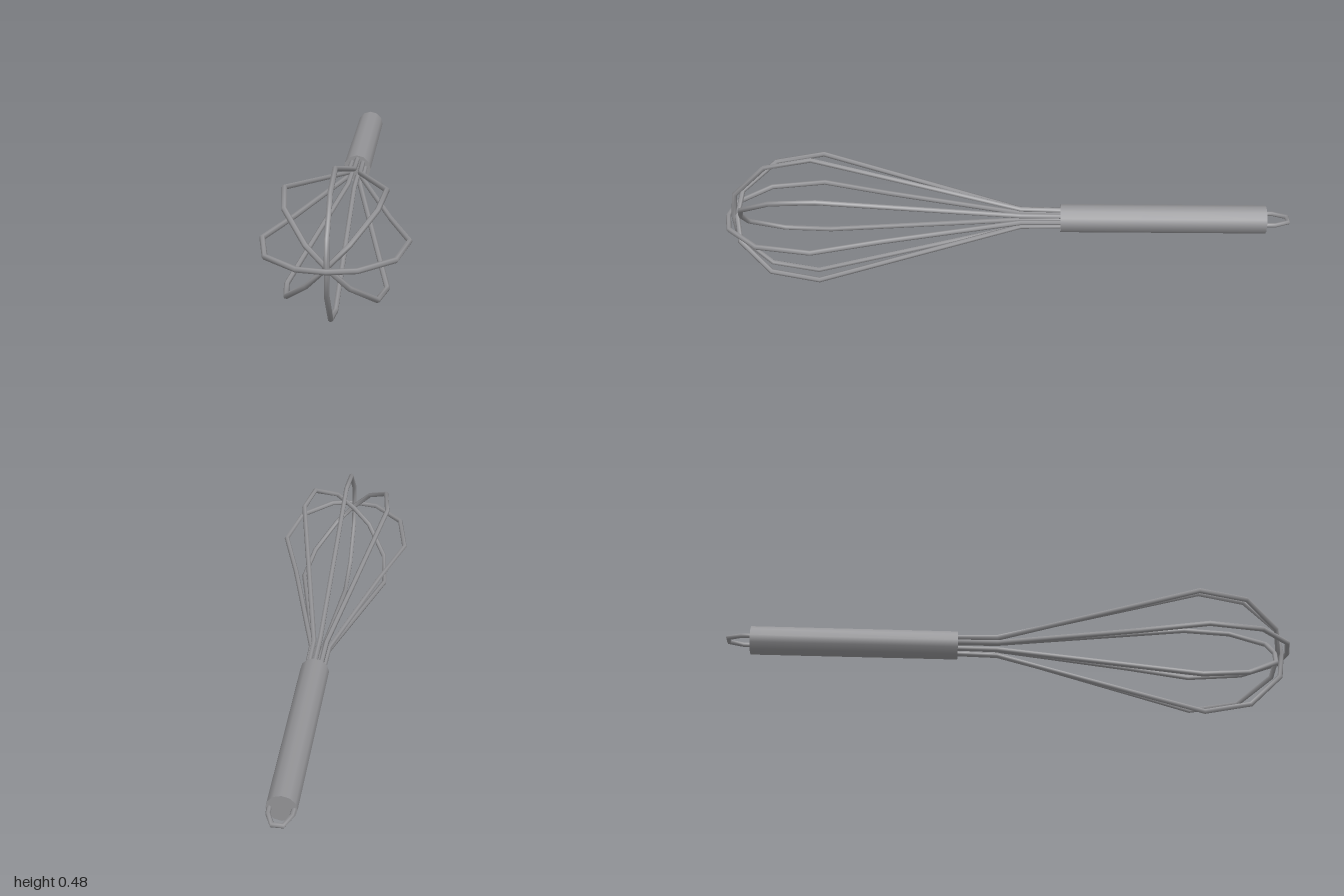
import * as THREE from 'three';

const CENTRE_Y = 0.241;

// Hexagonal wire swept with mitred corners along [x, z] points in the y = 0 plane
function wireGeometry(points, radius, sides = 6) {
  const pts = points.map(([x, z]) => new THREE.Vector2(x, z));
  const positions = [], indices = [];
  pts.forEach((p, i) => {
    const before = p.clone().sub(pts[Math.max(i - 1, 0)]).normalize();
    const after = pts[Math.min(i + 1, pts.length - 1)].clone().sub(p).normalize();
    const tangent = before.clone().add(after).normalize();
    const mitre = 1 / tangent.dot(i === 0 ? after : before);
    for (let j = 0; j < sides; j++) {
      const a = (j / sides) * Math.PI * 2;
      const n = Math.cos(a) * radius * mitre;
      positions.push(p.x + tangent.y * n, Math.sin(a) * radius, p.y - tangent.x * n);
      if (i < pts.length - 1) {
        const k = (j + 1) % sides;
        const A = i * sides + j, B = i * sides + k, C = B + sides, D = A + sides;
        indices.push(A, B, C, A, C, D);
      }
    }
  });
  const geometry = new THREE.BufferGeometry();
  geometry.setAttribute('position', new THREE.Float32BufferAttribute(positions, 3));
  geometry.setIndex(indices);
  geometry.computeVertexNormals();
  return geometry;
}

// Completes half a loop, whose last point lies on the axis
function mirrored(half) {
  return [...half, ...half.slice(0, -1).reverse().map(([x, z]) => [-x, z])];
}

export function createModel() {
  const group = new THREE.Group();
  const steel = new THREE.MeshStandardMaterial({ color: 0x939396, side: THREE.DoubleSide });
  steel.name = 'steel';

  function add(name, geometry) {
    const mesh = new THREE.Mesh(geometry, steel);
    mesh.name = name;
    mesh.position.y = CENTRE_Y;
    group.add(mesh);
    return mesh;
  }

  // Handle tube with a closed back and a slightly recessed front
  const sides = 12, front = -0.19, back = -0.915;
  const tube = new THREE.CylinderGeometry(0.05, 0.05, front - back, sides, 1, true);
  tube.rotateX(Math.PI / 2);
  tube.translate(0, 0, (front + back) / 2);
  add('handle', tube);
  const disc = new THREE.CircleGeometry(0.05, sides);
  add('handleFrontPlate', disc).position.z = front - 0.012;
  const backCap = add('handleBackCap', disc);
  backCap.position.z = back;
  backCap.rotation.y = Math.PI;

  // Balloon wires: two long loops and two shorter diagonal ones
  const horizontal = mirrored([
    [0.028, -0.24], [0.031, -0.05], [0.158, 0.43], [0.231, 0.67],
    [0.197, 0.86], [0.09, 0.97], [0, 0.988],
  ]);
  const vertical = mirrored([
    [0.032, -0.24], [0.036, -0.05], [0.231, 0.68],
    [0.199, 0.845], [0.09, 0.957], [0, 0.968],
  ]);
  const risingDiagonal = mirrored([
    [0.028, -0.24], [0.031, -0.05], [0.223, 0.65],
    [0.197, 0.815], [0.092, 0.93], [0, 0.944],
  ]);
  const fallingDiagonal = mirrored([
    [0.028, -0.24], [0.031, -0.05], [0.228, 0.655],
    [0.199, 0.825], [0.092, 0.94], [0, 0.956],
  ]);
  const loops = [
    ['horizontalWire', horizontal, 0],
    ['verticalWire', vertical, Math.PI / 2],
    ['risingDiagonalWire', risingDiagonal, Math.PI / 4],
    ['fallingDiagonalWire', fallingDiagonal, -Math.PI / 4],
  ];
  for (const [name, path, angle] of loops) {
    add(name, wireGeometry(path, 0.009)).rotation.z = angle;
  }

  // Hanging loop at the back of the handle
  const hook = [[0.039, -0.9], [0.037, -0.945], [0.017, -0.992],
    [-0.017, -0.992], [-0.037, -0.945], [-0.039, -0.9]];
  add('hangingLoop', wireGeometry(hook, 0.008));

  return group;
}
